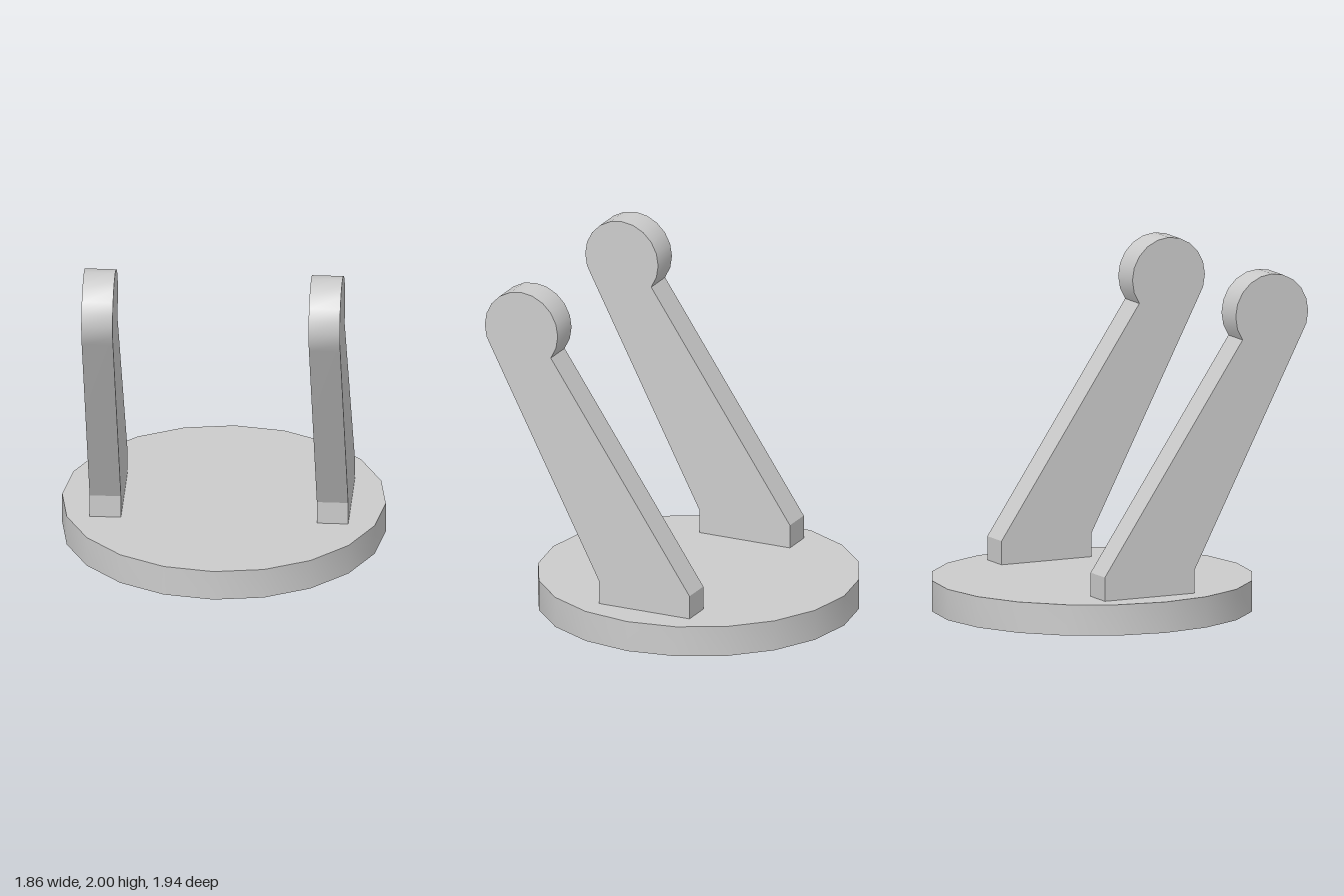
import * as THREE from 'three';
import { toCreasedNormals } from 'three/addons/utils/BufferGeometryUtils.js';

const ARM_WIDTH = 0.18;
const ARM_BOTTOM = 0.16;
const BASE_TOP = 0.18;
const CREASE = Math.PI / 8;

// Drop the triangles lying flat at the bottom, leaving an open shell
function openBottom(geometry, bottom) {
  const p = geometry.attributes.position.array;
  const kept = [];
  for (let i = 0; i < p.length; i += 9) {
    if (Math.max(p[i + 1], p[i + 4], p[i + 7]) > bottom + 1e-4) kept.push(...p.slice(i, i + 9));
  }
  const open = new THREE.BufferGeometry();
  open.setAttribute('position', new THREE.Float32BufferAttribute(kept, 3));
  return open;
}

// Side profile of an arm: foot, slanted shaft and round 20-sided head
function armGeometry() {
  const step = Math.PI / 10;
  const points = [
    new THREE.Vector2(-0.34, ARM_BOTTOM),
    new THREE.Vector2(0.237, ARM_BOTTOM),
    new THREE.Vector2(0.237, 0.315),
  ];
  for (let i = -2; i <= 12; i++) {
    points.push(new THREE.Vector2(
      0.735 + 0.233 * Math.cos(i * step),
      1.767 + 0.233 * Math.sin(i * step)
    ));
  }
  points.push(new THREE.Vector2(-0.34, 0.318));

  const geometry = new THREE.ExtrudeGeometry(new THREE.Shape(points), {
    depth: ARM_WIDTH,
    bevelEnabled: false,
  });
  geometry.translate(0, 0, -ARM_WIDTH / 2);
  geometry.rotateY(-Math.PI / 2); // profile x becomes z
  return toCreasedNormals(openBottom(geometry, ARM_BOTTOM), CREASE);
}

export function createModel() {
  const model = new THREE.Group();
  const material = new THREE.MeshStandardMaterial({ color: 0xcccccc, side: THREE.DoubleSide });

  // Round base: a rim and a top plate, open underneath
  const shell = new THREE.LatheGeometry([
    new THREE.Vector2(0.93, 0),
    new THREE.Vector2(0.93, BASE_TOP),
    new THREE.Vector2(0, BASE_TOP),
  ], 20);
  const base = new THREE.Mesh(toCreasedNormals(shell, CREASE), material);
  base.name = 'base';
  base.position.z = -0.039;
  model.add(base);

  // Pair of forward-leaning hollow arms, just piercing the top plate
  const geometry = armGeometry();
  for (const [name, x] of [['leftArm', 0.642], ['rightArm', -0.664]]) {
    const arm = new THREE.Mesh(geometry, material);
    arm.name = name;
    arm.position.x = x;
    model.add(arm);
  }
  return model;
}
